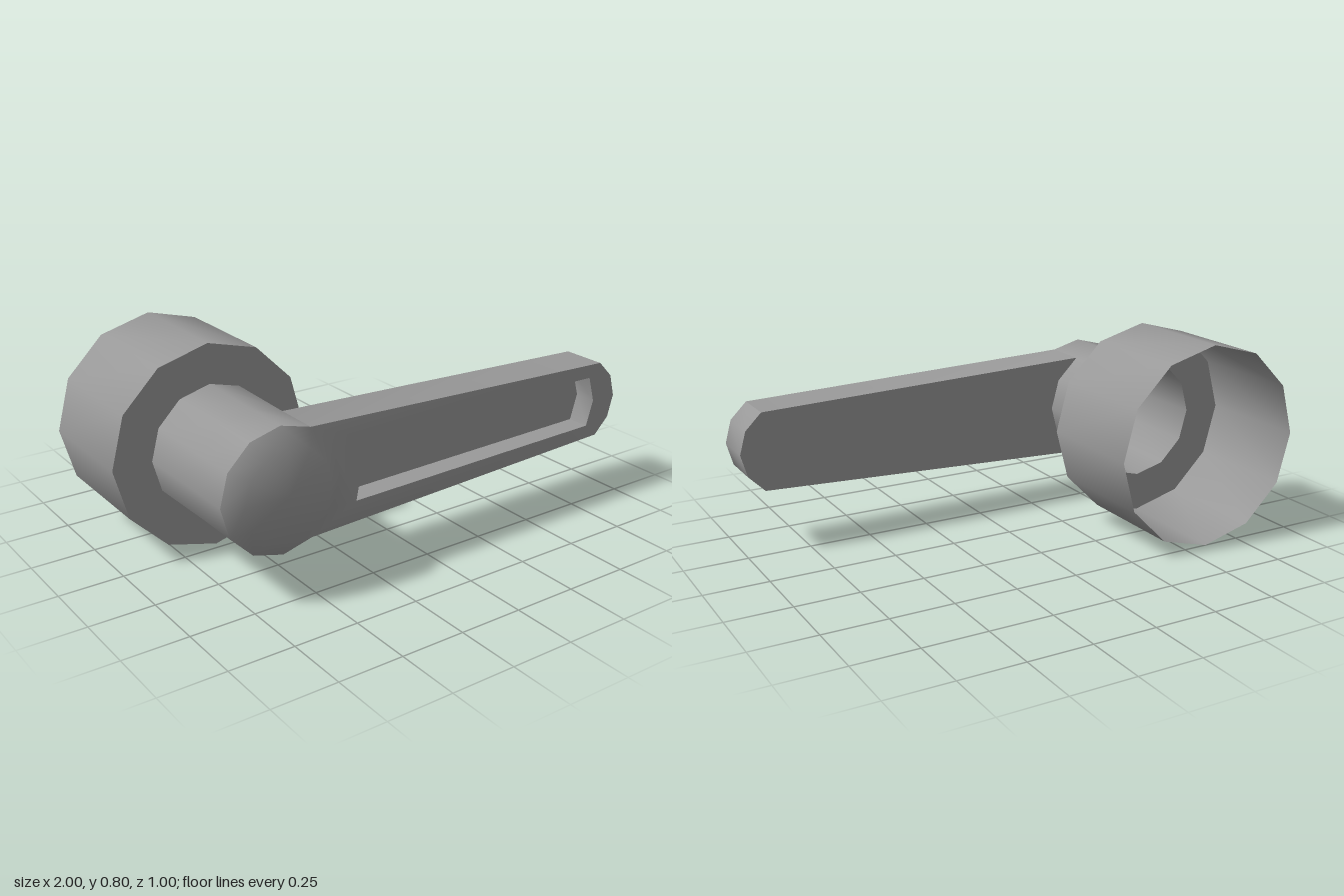
import * as THREE from 'three';
import { mergeGeometries, toCreasedNormals } from 'three/addons/utils/BufferGeometryUtils.js';

const CX = -0.6, CY = 0.4; // spindle axis, running along z
const BACK = 0.27, FLOOR = 0.36, FRONT = 0.45; // grip depths
const CREASE = 0.7;
const material = new THREE.MeshStandardMaterial({ color: 0x999999, side: THREE.DoubleSide });

// Joins surfaces, snaps shared corners together and smooths across soft edges
function addMesh(parent, name, surfaces) {
  const merged = mergeGeometries(surfaces.map((surface) => {
    const g = surface.index ? surface.toNonIndexed() : surface;
    g.deleteAttribute('normal');
    g.deleteAttribute('uv');
    return g;
  }));
  const { array } = merged.attributes.position;
  array.forEach((v, i) => { array[i] = Math.round(v * 1000) / 1000; });
  const mesh = new THREE.Mesh(toCreasedNormals(merged, CREASE), material);
  mesh.name = name;
  parent.add(mesh);
}

// Thin turned shell around the spindle axis; profile is [radius, z]
function turned(profile) {
  const points = profile.map(([r, z]) => new THREE.Vector2(r, z));
  return new THREE.LatheGeometry(points, 12).rotateX(Math.PI / 2).translate(CX, CY, 0);
}

const toPoints = (list) => list.map(([x, y]) => new THREE.Vector2(x, y));

// Flat face at depth z, facing the front
function face(outline, z, hole) {
  const shape = new THREE.Shape(toPoints(outline));
  if (hole) shape.holes.push(new THREE.Path(toPoints(hole)));
  return new THREE.ShapeGeometry(shape).translate(0, 0, z);
}

// Strip of wall along a path, from depth z0 to z1
function wall(path, z0, z1) {
  const positions = [];
  for (let i = 0; i < path.length - 1; i++) {
    const a = path[i], b = path[i + 1];
    positions.push(...a, z0, ...b, z0, ...b, z1, ...a, z0, ...b, z1, ...a, z1);
  }
  return new THREE.BufferGeometry().setAttribute('position', new THREE.Float32BufferAttribute(positions, 3));
}

export function createModel() {
  const model = new THREE.Group();
  model.name = 'doorHandle';

  // Hollow wall cup, open at the back, with a flat front ring
  addMesh(model, 'rose', [turned([[0.4, -0.5], [0.4, -0.03], [0.245, -0.03]])]);

  // Hollow neck with a chamfered front cap
  const neck = turned([[0.245, -0.03], [0.24, BACK], [0.24, FRONT], [0.175, 0.5], [0, 0.5]]);

  // Tapered grip: its root follows the neck, its tip is faceted
  const root = [60, 30, 0, -30, -60].map((degrees) => {
    const a = THREE.MathUtils.degToRad(degrees);
    return [CX + 0.24 * Math.cos(a), CY + 0.24 * Math.sin(a)];
  });
  const tip = [[0.91, 0.25], [0.975, 0.315], [1, 0.405], [0.975, 0.495], [0.91, 0.56]];
  const outline = [...root, ...tip];
  const pocket = [
    [-0.29, 0.28], [-0.265, 0.405], [-0.29, 0.53], [0.855, 0.508], [0.885, 0.405], [0.855, 0.302],
  ];
  const backFace = face(outline, BACK);
  backFace.index.array.reverse();

  // Neck and grip are one casting, blended where the cap meets the grip
  addMesh(model, 'lever', [
    neck,
    backFace,
    face(outline, FRONT, pocket),
    face(pocket, FLOOR),
    wall([root[4], ...tip, root[0]], BACK, FRONT),
    wall([...pocket, pocket[0]], FLOOR, FRONT),
  ]);

  return model;
}
